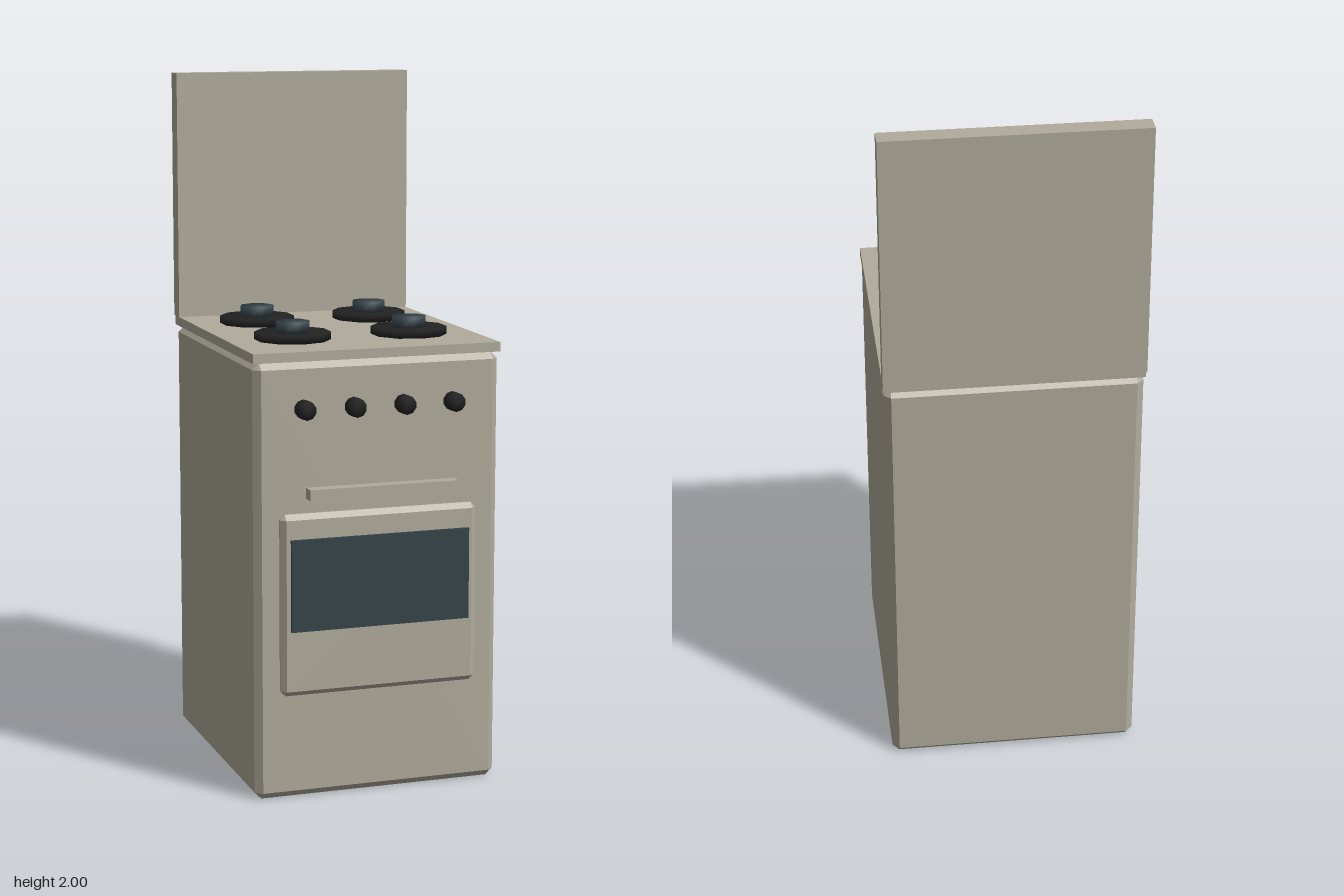
import * as THREE from 'three';
import { mergeVertices } from 'three/addons/utils/BufferGeometryUtils.js';
import { ConvexGeometry } from 'three/addons/geometries/ConvexGeometry.js';

// Box with every edge chamfered by c, given by its min and max corners
function chamferBox(min, max, c) {
  const points = [];
  for (let axis = 0; axis < 3; axis++) {
    for (let k = 0; k < 8; k++) {
      const p = [0, 1, 2].map((i) => {
        const inset = i === axis ? 0 : c;
        return k & (1 << i) ? max[i] - inset : min[i] + inset;
      });
      points.push(new THREE.Vector3(...p));
    }
  }
  return new ConvexGeometry(points);
}

// Plain box given by its min and max corners
function box(min, max) {
  const size = max.map((v, i) => v - min[i]);
  const mid = max.map((v, i) => (v + min[i]) / 2);
  return new THREE.BoxGeometry(...size).translate(...mid);
}

// Low-sided disc with normals blended across its rim, standing on y = 0
function softDisc(radius, height, sides) {
  const g = new THREE.CylinderGeometry(radius, radius, height, sides);
  g.deleteAttribute('normal');
  g.deleteAttribute('uv');
  const merged = mergeVertices(g);
  merged.computeVertexNormals();
  return merged.translate(0, height / 2, 0);
}

export function createModel() {
  const model = new THREE.Group();
  model.name = 'cooker';

  const material = (name, color) => {
    const m = new THREE.MeshStandardMaterial({ color });
    m.name = name;
    return m;
  };
  const enamel = material('beige enamel', 0xb0ab9c);
  const black = material('black iron', 0x222222);
  const slate = material('dark slate', 0x35434a);

  const add = (name, geometry, mat, parent = model) => {
    const mesh = new THREE.Mesh(geometry, mat);
    mesh.name = name;
    parent.add(mesh);
    return mesh;
  };

  // Cabinet, hob plate and raised lid
  add('body', chamferBox([-0.36, 0, -0.428], [0.36, 1.245, 0.387], 0.02), enamel);
  add('hobPlate', box([-0.363, 1.245, -0.43], [0.363, 1.272, 0.387]), enamel);
  add('lid', box([-0.363, 1.272, -0.445], [0.363, 2, -0.388]), enamel);

  // Oven door, its window and handle
  add('ovenDoor', chamferBox([-0.29, 0.3, 0.37], [0.29, 0.82, 0.407], 0.015), enamel);
  add('ovenWindow', box([-0.263, 0.488, 0.407], [0.263, 0.75, 0.416]), slate);
  add('ovenHandle', box([-0.218, 0.865, 0.407], [0.218, 0.896, 0.445]), enamel);

  // Four burners, each a wide ring with a small cap
  const ringGeometry = softDisc(0.109, 0.022, 10);
  const capGeometry = softDisc(0.051, 0.03, 8);
  for (const x of [-0.175, 0.175]) {
    for (const z of [-0.2, 0.15]) {
      const burner = new THREE.Group();
      burner.name = 'burner';
      burner.position.set(x, 1.272, z);
      add('burnerRing', ringGeometry, black, burner);
      add('burnerCap', capGeometry, slate, burner).position.y = 0.022;
      model.add(burner);
    }
  }

  // Row of control knobs
  const knobGeometry = softDisc(0.027, 0.04, 10).rotateX(Math.PI / 2);
  for (let i = 0; i < 4; i++) {
    add('knob', knobGeometry, black).position.set(-0.219 + i * 0.146, 1.113, 0.383);
  }

  return model;
}
